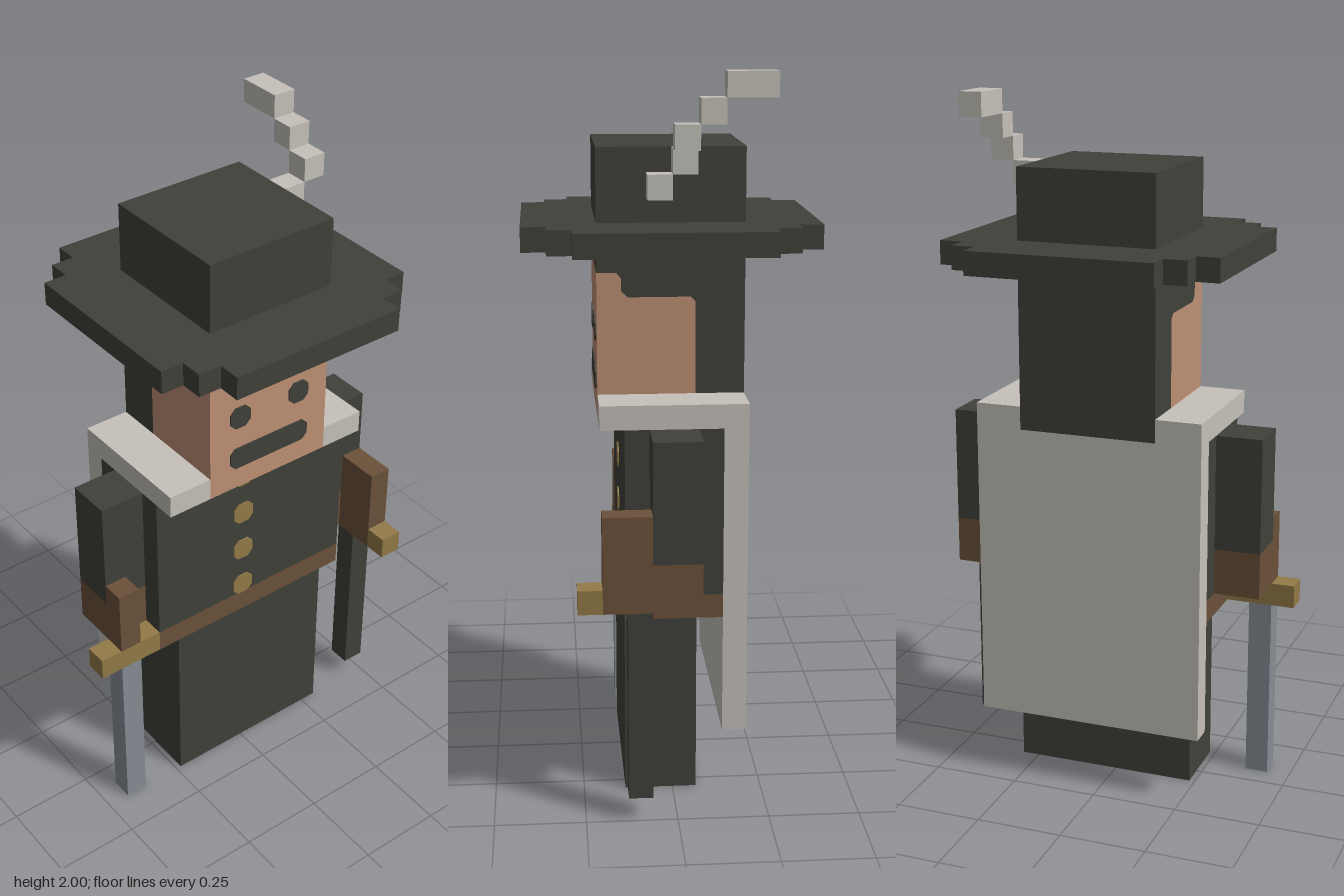
import * as THREE from 'three';

const U = 1 / 15; // one block

const mat = (name, color) => {
  const m = new THREE.MeshStandardMaterial({ color });
  m.name = name;
  return m;
};

export function createModel() {
  const cloth = mat('charcoal cloth', 0x40413a);
  const skin = mat('skin', 0xbe9074);
  const linen = mat('pale linen', 0xc6c2ba);
  const leather = mat('brown leather', 0x6b513a);
  const brass = mat('brass', 0x937a47);
  const steel = mat('steel', 0x878d95);

  const root = new THREE.Group();
  root.name = 'hattedSwordsman';
  root.scale.setScalar(U); // everything below is measured in blocks

  const add = (name, geo, material) => {
    const mesh = new THREE.Mesh(geo, material);
    mesh.name = name;
    root.add(mesh);
    return mesh;
  };

  // Block given by its limits along each axis
  const block = (name, material, [x0, x1], [y0, y1], [z0, z1]) =>
    add(name, new THREE.BoxGeometry(x1 - x0, y1 - y0, z1 - z0)
      .translate((x0 + x1) / 2, (y0 + y1) / 2, (z0 + z1) / 2), material);

  const polygon = (pts) => new THREE.Shape(pts.map(([a, b]) => new THREE.Vector2(a, b)));

  // Thin plate with clipped corners, facing the front
  const plate = (name, material, x0, x1, y0, y1, z) => {
    const c = 0.25;
    const shape = polygon([
      [x0 + c, y0], [x1 - c, y0], [x1, y0 + c], [x1, y1 - c],
      [x1 - c, y1], [x0 + c, y1], [x0, y1 - c], [x0, y0 + c],
    ]);
    add(name, new THREE.ExtrudeGeometry(shape, { depth: 0.06, bevelEnabled: false })
      .translate(0, 0, z), material);
  };

  // Side profile (z, y) extruded across the width of the head
  const headSlice = (name, material, pts) =>
    add(name, new THREE.ExtrudeGeometry(polygon(pts), { depth: 6, bevelEnabled: false })
      .rotateY(-Math.PI / 2).translate(3.5, 0, 0), material);

  // Body
  block('legs', cloth, [-3.5, 4.5], [0, 8], [-1, 2]);
  block('belt', leather, [-4.5, 5.5], [8, 9], [-2, 2]);
  block('torso', cloth, [-4.5, 5.5], [9, 16], [-2, 2]);
  for (const y of [9, 11, 13, 15]) plate('button', brass, -0.5, 0.5, y, y + 1, 2);

  // Arms with leather gloves
  for (const [side, x] of [['right', -6.5], ['left', 5.5]]) {
    block(side + 'Sleeve', cloth, [x, x + 2], [11, 16], [-1, 1]);
    block(side + 'Glove', leather, [x, x + 2], [9, 11], [-1, 1]);
  }

  // Cape and collar
  block('cape', linen, [-4.5, 5.5], [3, 16], [-3, -2]);
  block('rightCollar', linen, [-4.5, -2.5], [16, 17], [-3, 3]);
  block('leftCollar', linen, [3.5, 5.5], [16, 17], [-3, 3]);

  // Head: face and hair meet along one hairline
  const hairline = [[3, 22], [2.2, 22], [2, 21.75], [2, 21.25], [1.75, 21], [-0.8, 21], [-1, 20.8], [-1, 16]];
  headSlice('face', skin, [[3, 16], ...hairline]);
  headSlice('hair', cloth, [[-3, 16], [-3, 23], [3, 23], ...hairline]);
  plate('rightEye', cloth, -1.5, -0.5, 19, 20, 3);
  plate('leftEye', cloth, 1.5, 2.5, 19, 20, 3);
  plate('moustache', cloth, -1.5, 2.5, 17, 18, 3);

  // Hat: stepped round brim and square crown
  const quarter = [[4, 6], [4, 5], [5, 5], [5, 4], [6, 4]];
  const half = [...quarter, ...quarter.map(([x, z]) => [x, -z]).reverse()];
  const outline = [...half, ...half.map(([x, z]) => [-x, z]).reverse()];
  add('hatBrim', new THREE.ExtrudeGeometry(polygon(outline), { depth: 1, bevelEnabled: false })
    .rotateX(-Math.PI / 2).translate(0.5, 23, 0), cloth);
  block('hatCrown', cloth, [-2.5, 3.5], [24, 27], [-3, 3]);

  // Feather climbing backwards: x, y, rear z, front z
  for (const [x, y, z0, z1] of [
    [3.5, 25, 0, 1], [3.5, 26, -1, 0], [4.5, 27, -1, 0], [4.5, 28, -2, -1], [4.5, 29, -4, -2],
  ]) block('feather', linen, [x, x + 1], [y, y + 1], [z0, z1]);

  // Sword in the right hand
  block('swordBlade', steel, [-6.5, -5.5], [0, 8], [1, 2]);
  block('swordGuard', brass, [-7.5, -4.5], [8, 9], [1, 2]);
  block('swordGrip', leather, [-6.5, -5.5], [9, 12], [1, 2]);

  // Pistol in the left hand
  block('pistolBarrel', cloth, [6.5, 7.5], [1, 9], [1, 2]);
  block('pistolStock', leather, [6.5, 7.5], [9, 13], [1, 3]);
  block('pistolTrigger', brass, [6.5, 7.5], [9, 10], [3, 4]);

  const model = new THREE.Group();
  model.name = 'model';
  model.add(root);
  return model;
}
